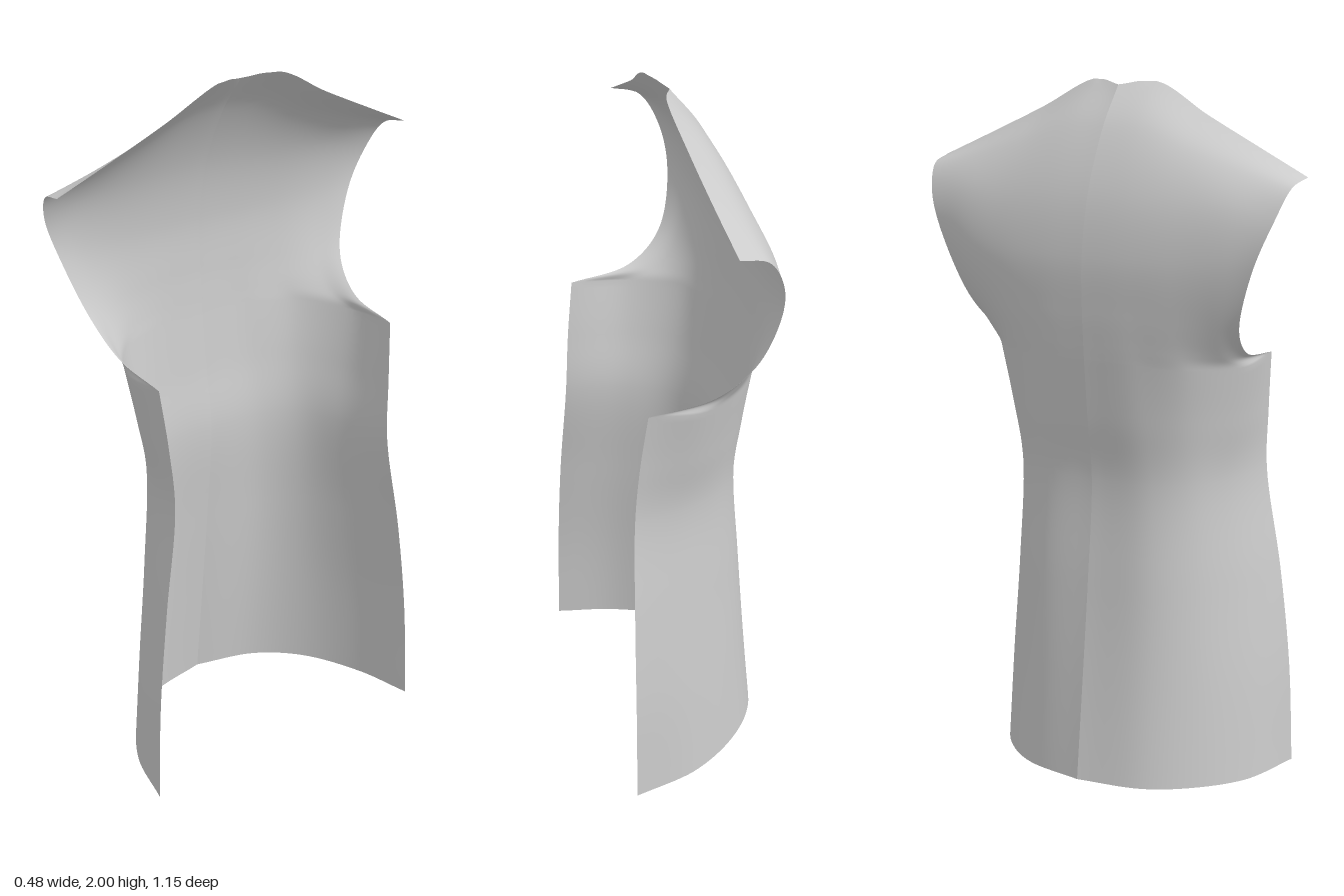
import * as THREE from 'three';

// Cross-sections from the centre back seam to the open edge, each point [x, y, z].
// Body: hem up to the underarm.
const bodyRows = [
  [[-0.24, 0.02, 0], [-0.195, 0.015, 0.19], [-0.1, 0.01, 0.315], [0.05, 0, 0.41], [0.24, 0, 0.46]],
  [[-0.208, 0.3, 0], [-0.173, 0.3, 0.185], [-0.09, 0.3, 0.3], [0.05, 0.3, 0.39], [0.236, 0.3, 0.447]],
  [[-0.175, 0.6, 0], [-0.153, 0.6, 0.18], [-0.085, 0.6, 0.28], [0.045, 0.6, 0.36], [0.228, 0.6, 0.415]],
  [[-0.15, 0.9, 0], [-0.138, 0.9, 0.17], [-0.08, 0.9, 0.27], [0.035, 0.9, 0.335], [0.213, 0.9, 0.372]],
  [[-0.172, 1.08, 0], [-0.16, 1.08, 0.165], [-0.105, 1.08, 0.28], [0.025, 1.07, 0.36], [0.2, 1.08, 0.38]],
  [[-0.19, 1.25, 0], [-0.18, 1.25, 0.16], [-0.13, 1.24, 0.295], [0.015, 1.235, 0.39], [0.18, 1.25, 0.395]],
];
// Yoke: underarm, along the armhole, over to the shoulder seam and neckline.
const yokeRows = [
  bodyRows[5],
  [[-0.194, 1.3, 0], [-0.187, 1.3, 0.15], [-0.155, 1.29, 0.275], [-0.08, 1.28, 0.365], [0, 1.28, 0.405]],
  [[-0.2, 1.39, 0], [-0.195, 1.39, 0.14], [-0.178, 1.38, 0.265], [-0.14, 1.375, 0.37], [-0.1, 1.37, 0.43]],
  [[-0.2, 1.54, 0], [-0.197, 1.54, 0.135], [-0.188, 1.54, 0.27], [-0.17, 1.54, 0.4], [-0.145, 1.54, 0.49]],
  [[-0.166, 1.71, 0], [-0.162, 1.71, 0.13], [-0.155, 1.7, 0.275], [-0.145, 1.69, 0.415], [-0.13, 1.665, 0.54]],
  [[-0.085, 1.88, 0], [-0.075, 1.88, 0.115], [-0.08, 1.83, 0.265], [-0.08, 1.785, 0.42], [-0.08, 1.748, 0.565]],
  [[0, 1.99, 0], [0.038, 2, 0.1], [0.028, 1.918, 0.26], [0.015, 1.842, 0.42], [0, 1.77, 0.575]],
];

const curve = (pts) => new THREE.CatmullRomCurve3(pts);

// Smooth the cross-sections along their columns, returning n + 1 finer ones.
function refineRows(rows, n) {
  const columns = rows[0].map((_, c) => curve(rows.map((r) => new THREE.Vector3(...r[c]))));
  return Array.from({ length: n + 1 }, (_, i) => columns.map((col) => col.getPoint(i / n)));
}

// One half of the back panel; side is +1 or -1 along z.
function halfPanel(side) {
  const rows = [...refineRows(bodyRows, 40), ...refineRows(yokeRows, 48).slice(1)];
  const nu = 32, positions = [], index = [];
  rows.forEach((row, j) => {
    const section = curve(row);
    for (let i = 0; i <= nu; i++) {
      const p = section.getPoint(i / nu);
      positions.push(p.x, Math.min(2, Math.max(0, p.y)), p.z * side);
      if (j && i) {
        const d = j * (nu + 1) + i, c = d - 1, b = d - nu - 1, a = b - 1;
        if (side > 0) index.push(a, b, d, a, d, c);
        else index.push(a, d, b, a, c, d);
      }
    }
  });
  const g = new THREE.BufferGeometry();
  g.setAttribute('position', new THREE.Float32BufferAttribute(positions, 3));
  g.setIndex(index);
  g.computeVertexNormals();
  return g;
}

export function createModel() {
  const group = new THREE.Group();
  group.name = 'vestBack';
  const cloth = new THREE.MeshStandardMaterial({ color: 0xcccccc, side: THREE.DoubleSide });
  // Two halves meeting at the centre back seam
  for (const [name, side] of [['backPanelFrontHalf', 1], ['backPanelRearHalf', -1]]) {
    const mesh = new THREE.Mesh(halfPanel(side), cloth);
    mesh.name = name;
    group.add(mesh);
  }
  return group;
}
